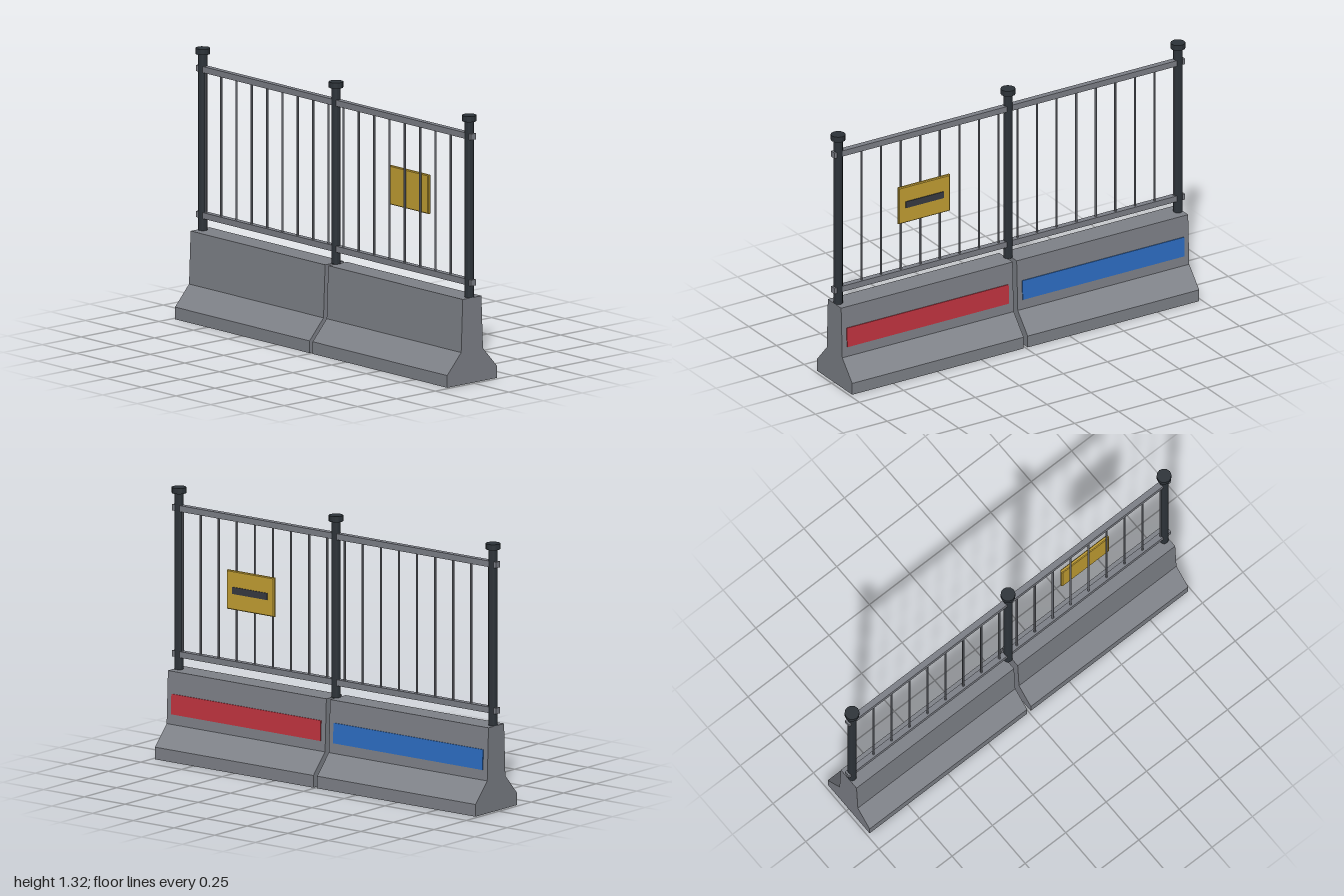
import * as THREE from 'three';

const mat = (name, color) => {
  const m = new THREE.MeshStandardMaterial({ color });
  m.name = name;
  return m;
};

export function createModel() {
  const concrete = mat('concrete grey', 0x7f8289);
  const steel = mat('rail grey', 0x7d8088);
  const dark = mat('dark post', 0x2d3339);
  const red = mat('red', 0xc23440);
  const blue = mat('blue', 0x2d6ec4);
  const yellow = mat('sign yellow', 0xc4a033);
  const stripe = mat('sign stripe', 0x383b42);
  dark.flatShading = true;
  steel.flatShading = true;

  const root = new THREE.Group();
  root.name = 'fencedBarrier';
  const add = (parent, name, geo, material, x, y, z) => {
    const m = new THREE.Mesh(geo, material);
    m.name = name;
    m.position.set(x, y, z);
    parent.add(m);
    return m;
  };

  // Sloped concrete block profile
  const half = [[0.16, 0], [0.16, 0.06], [0.07, 0.16], [0.06, 0.42]];
  const outline = [...half, ...half.map(([x, y]) => [-x, y]).reverse()];
  const profile = new THREE.Shape(outline.map(([x, y]) => new THREE.Vector2(x, y)));
  const LEN = 0.973;
  const blockGeo = new THREE.ExtrudeGeometry(profile, { depth: LEN, bevelEnabled: false });
  blockGeo.translate(0, 0, -LEN / 2);

  const panelGeo = new THREE.BoxGeometry(0.007, 0.1, 0.918);
  const railGeo = new THREE.BoxGeometry(0.03, 0.03, 0.994);
  const barGeo = new THREE.CylinderGeometry(0.0058, 0.0058, 0.69, 6);

  // Two sections: block, coloured panel, rails and bars
  for (const s of [1, -1]) {
    const section = new THREE.Group();
    section.name = s > 0 ? 'frontSection' : 'backSection';
    section.position.z = s * 0.498;
    root.add(section);
    add(section, 'concreteBlock', blockGeo, concrete, 0, 0, 0);
    const panel = add(section, 'sidePanel', panelGeo, s > 0 ? red : blue, 0.067, 0.26, 0);
    panel.rotation.z = Math.atan2(0.01, 0.26); // follows the wall slope
    add(section, 'lowerRail', railGeo, steel, 0, 0.495, 0);
    add(section, 'upperRail', railGeo, steel, 0, 1.215, 0);
    for (let i = -4; i <= 4; i++) add(section, 'fenceBar', barGeo, steel, 0, 0.855, i * 0.111);
  }

  // Posts with wide caps
  const postGeo = new THREE.CylinderGeometry(0.0225, 0.0225, 0.87, 12);
  const capGeo = new THREE.CylinderGeometry(0.036, 0.036, 0.028, 12);
  for (const z of [0.964, 0, -0.964]) {
    const post = new THREE.Group();
    post.name = 'post';
    post.position.z = z;
    root.add(post);
    add(post, 'postShaft', postGeo, dark, 0, 0.855, 0);
    add(post, 'postCap', capGeo, dark, 0, 1.303, 0);
  }

  // Sign plate with a small bevel, facing +x
  const sign = new THREE.Group();
  sign.name = 'sign';
  root.add(sign);
  const B = 0.004, w = 0.146 - B, h = 0.096 - B;
  const plate = new THREE.Shape([[-w, -h], [w, -h], [w, h], [-w, h]].map(p => new THREE.Vector2(...p)));
  const plateGeo = new THREE.ExtrudeGeometry(plate, {
    depth: 0.01, bevelThickness: B, bevelSize: B, bevelSegments: 1,
  });
  plateGeo.rotateY(Math.PI / 2);
  add(sign, 'signPlate', plateGeo, yellow, 0.0245, 0.866, 0.497);
  add(sign, 'signStripe', new THREE.BoxGeometry(0.006, 0.034, 0.215), stripe, 0.0395, 0.866, 0.497);

  return root;
}
